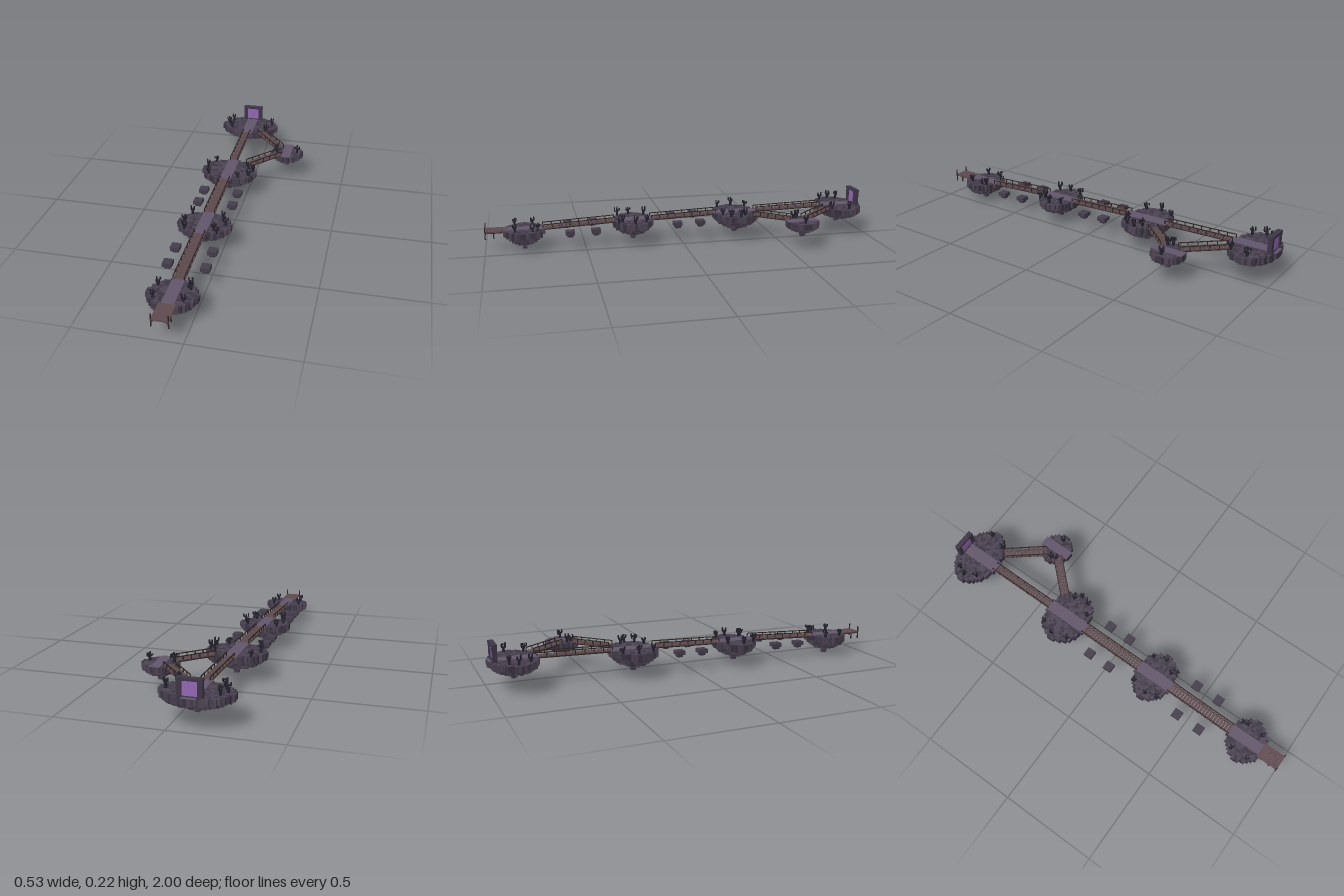
import * as THREE from 'three';
import { mergeGeometries } from 'three/addons/utils/BufferGeometryUtils.js';

const mat = (color) => new THREE.MeshStandardMaterial({ color, flatShading: true });
const M = {
  rocks: [mat(0x3a3341), mat(0x443c4b), mat(0x4d4453)],
  path: mat(0x62566a), plank: mat(0x5e4a4e), rail: mat(0x2f2622),
  plant: mat(0x23222c), frame: mat(0x3d3646), portal: mat(0x9468b4),
};

// Small seeded generator
let seed = 7;
const rnd = () => {
  seed = (seed * 16807) % 2147483647;
  return seed / 2147483647;
};

const box = (w, h, d, x, y, z) => new THREE.BoxGeometry(w, h, d).translate(x, y, z);

function add(parent, name, geos, material) {
  const m = new THREE.Mesh(mergeGeometries(geos), material);
  m.name = name;
  parent.add(m);
  return m;
}

// Square bar between two points
function bar(a, b, t) {
  const dir = b.clone().sub(a);
  const g = new THREE.BoxGeometry(t, dir.length(), t);
  const q = new THREE.Quaternion().setFromUnitVectors(new THREE.Vector3(0, 1, 0), dir.normalize());
  return g.applyQuaternion(q).translate((a.x + b.x) / 2, (a.y + b.y) / 2, (a.z + b.z) / 2);
}

// Bare branching shrub
function shrub(x, y, z, h) {
  const stem = h * 0.6, geos = [box(0.01, stem, 0.01, x, y + stem / 2, z)];
  const turn = rnd() * 6;
  for (let i = 0; i < 4; i++) {
    const a = turn + i * 1.6, r = 0.007 + rnd() * 0.007;
    const low = new THREE.Vector3(x, y + stem * (0.55 + 0.12 * i), z);
    const elbow = new THREE.Vector3(x + Math.cos(a) * r, low.y + h * 0.12, z + Math.sin(a) * r);
    const top = elbow.clone();
    top.y = y + h * (0.8 + 0.22 * rnd());
    geos.push(bar(low, elbow, 0.006), bar(elbow, top, 0.006));
  }
  return geos;
}

// Floating island made of square columns that deepen toward the middle
function island(o) {
  const g = new THREE.Group();
  g.name = o.name;
  const rocks = [[], [], []], rim = 0.032, depth = o.top - o.bottom - 0.018;
  const nx = Math.round(o.rx / 0.0145), nz = Math.round(o.rz / 0.0145);
  const cw = (2 * o.rx) / (2 * nx + 1), cd = (2 * o.rz) / (2 * nz + 1);
  for (let i = -nx; i <= nx; i++) {
    for (let k = -nz; k <= nz; k++) {
      const r2 = (i / (nx + 0.25)) ** 2 + (k / (nz + 0.25)) ** 2;
      if (r2 > 1) continue;
      const d = rim + (depth - rim) * (1 - r2) ** 0.9 - rnd() * 0.01;
      rocks[Math.floor(rnd() * 3)].push(box(cw, d, cd, o.x + i * cw, o.top - d / 2, o.z + k * cd));
    }
  }
  // Hanging tip
  rocks[1].push(box(0.022, 0.035, 0.022, o.x, o.bottom + 0.0175, o.z));
  rocks.forEach((list, i) => add(g, 'rockColumns' + (i + 1), list, M.rocks[i]));
  // Raised walkway
  add(g, 'path', [box(o.pathW, 0.004, o.rz * 1.98, o.x, o.top + 0.001, o.z)], M.path);
  const plants = o.plants.flatMap(([px, pz, h]) => shrub(px, o.top, pz, h));
  add(g, 'shrubs', plants, M.plant);
  return g;
}

// Plank bridge with stringers, posts and handrails
function bridge(name, from, to, width) {
  const a = new THREE.Vector3(...from), b = new THREE.Vector3(...to);
  const g = new THREE.Group();
  g.name = name;
  const length = a.distanceTo(b), n = Math.round(length / 0.0165);
  const planks = [], rails = [], pitch = length / n;
  for (let i = 0; i < n; i++) planks.push(box(width, 0.006, pitch * 0.76, 0, 0, (i + 0.5) * pitch - length / 2));
  const posts = Math.round(length / 0.045);
  for (const s of [-1, 1]) {
    const x = s * (width / 2 - 0.002);
    rails.push(box(0.005, 0.006, length, x * 0.8, -0.006, 0));
    rails.push(box(0.004, 0.004, length, x, 0.019, 0));
    for (let i = 0; i <= posts; i++) rails.push(box(0.004, 0.026, 0.004, x, 0.008, (i / posts - 0.5) * length));
  }
  add(g, 'planks', planks, M.plank);
  add(g, 'handrails', rails, M.rail);
  g.position.copy(a).lerp(b, 0.5);
  g.lookAt(b);
  return g;
}

// Small floating stepping rocks
function steppingRock(x, top, z) {
  const g = new THREE.Group();
  g.name = 'steppingRock';
  add(g, 'slab', [box(0.045, 0.02, 0.045, x, top - 0.01, z)], M.rocks[1]);
  add(g, 'underside', [box(0.028, 0.012, 0.028, x, top - 0.026, z)], M.rocks[0]);
  return g;
}

// Framed doorway with a glowing panel
function portal(x, y, z) {
  const g = new THREE.Group();
  g.name = 'portal';
  add(g, 'frame', [
    box(0.022, 0.074, 0.022, x - 0.0445, y + 0.035, z),
    box(0.022, 0.074, 0.022, x + 0.0445, y + 0.035, z),
    box(0.112, 0.013, 0.025, x, y + 0.0765, z),
    box(0.112, 0.006, 0.026, x, y + 0.002, z),
  ], M.frame);
  add(g, 'portalPanel', [box(0.068, 0.068, 0.008, x, y + 0.037, z)], M.portal);
  return g;
}

// Landing deck with corner posts
function dock(x, y) {
  const g = new THREE.Group();
  g.name = 'dock';
  const planks = [], posts = [];
  for (let i = 0; i < 8; i++) planks.push(box(0.08, 0.007, 0.0135, x, y, 0.893 + i * 0.0142));
  for (const s of [-1, 1]) {
    posts.push(box(0.005, 0.065, 0.005, x + s * 0.038, 0.1, 0.9965));
    posts.push(box(0.005, 0.035, 0.005, x + s * 0.036, y - 0.017, 0.955));
    posts.push(box(0.006, 0.006, 0.11, x + s * 0.03, y - 0.006, 0.943));
  }
  add(g, 'deckPlanks', planks, M.plank);
  add(g, 'dockPosts', posts, M.rail);
  return g;
}

export function createModel() {
  seed = 7;
  const root = new THREE.Group();
  root.name = 'floatingIslands';
  const X = -0.1;
  const islands = [
    { name: 'firstIsland', x: X, z: 0.805, rx: 0.118, rz: 0.104, top: 0.103, bottom: 0, pathW: 0.058,
      plants: [[-0.18, 0.76, 0.036], [-0.175, 0.85, 0.04], [-0.035, 0.74, 0.042], [-0.03, 0.765, 0.034], [-0.04, 0.85, 0.038]] },
    { name: 'secondIsland', x: X, z: 0.25, rx: 0.134, rz: 0.104, top: 0.121, bottom: 0.02, pathW: 0.058,
      plants: [[-0.18, 0.18, 0.042], [-0.2, 0.26, 0.042], [-0.185, 0.32, 0.045], [-0.02, 0.19, 0.04], [0.005, 0.25, 0.042], [-0.04, 0.31, 0.045], [-0.02, 0.33, 0.036]] },
    { name: 'thirdIsland', x: X, z: -0.3, rx: 0.148, rz: 0.118, top: 0.132, bottom: 0.022, pathW: 0.06,
      plants: [[-0.2, -0.23, 0.04], [-0.22, -0.31, 0.045], [-0.19, -0.38, 0.034], [0.015, -0.25, 0.04], [0.03, -0.3, 0.045], [0, -0.33, 0.042], [-0.04, -0.22, 0.036]] },
    { name: 'portalIsland', x: X, z: -0.8825, rx: 0.165, rz: 0.1175, top: 0.142, bottom: 0.048, pathW: 0.062,
      plants: [[-0.23, -0.88, 0.045], [-0.2, -0.82, 0.04], [-0.21, -0.92, 0.045], [0.01, -0.81, 0.04], [0.03, -0.9, 0.045]] },
    { name: 'sideIsland', x: 0.177, z: -0.58, rx: 0.087, rz: 0.083, top: 0.137, bottom: 0.057, pathW: 0.05,
      plants: [[0.115, -0.57, 0.045], [0.125, -0.545, 0.038], [0.232, -0.575, 0.042]] },
  ];
  islands.forEach((o) => root.add(island(o)));

  root.add(
    bridge('firstBridge', [X, 0.104, 0.71], [X, 0.121, 0.345], 0.056),
    bridge('secondBridge', [X, 0.121, 0.155], [X, 0.132, -0.19], 0.056),
    bridge('thirdBridge', [X, 0.133, -0.41], [X, 0.142, -0.775], 0.044),
    bridge('sideBridgeNear', [-0.01, 0.133, -0.385], [0.135, 0.137, -0.54], 0.048),
    bridge('sideBridgeFar', [0.13, 0.137, -0.61], [-0.015, 0.142, -0.785], 0.048),
    portal(X, 0.142, -0.972),
    dock(X, 0.103),
  );
  for (const [z, top] of [[0.58, 0.103], [0.45, 0.106], [0.03, 0.117], [-0.09, 0.12]])
    for (const s of [-1, 1]) root.add(steppingRock(X + s * 0.09, top, z));
  return root;
}
